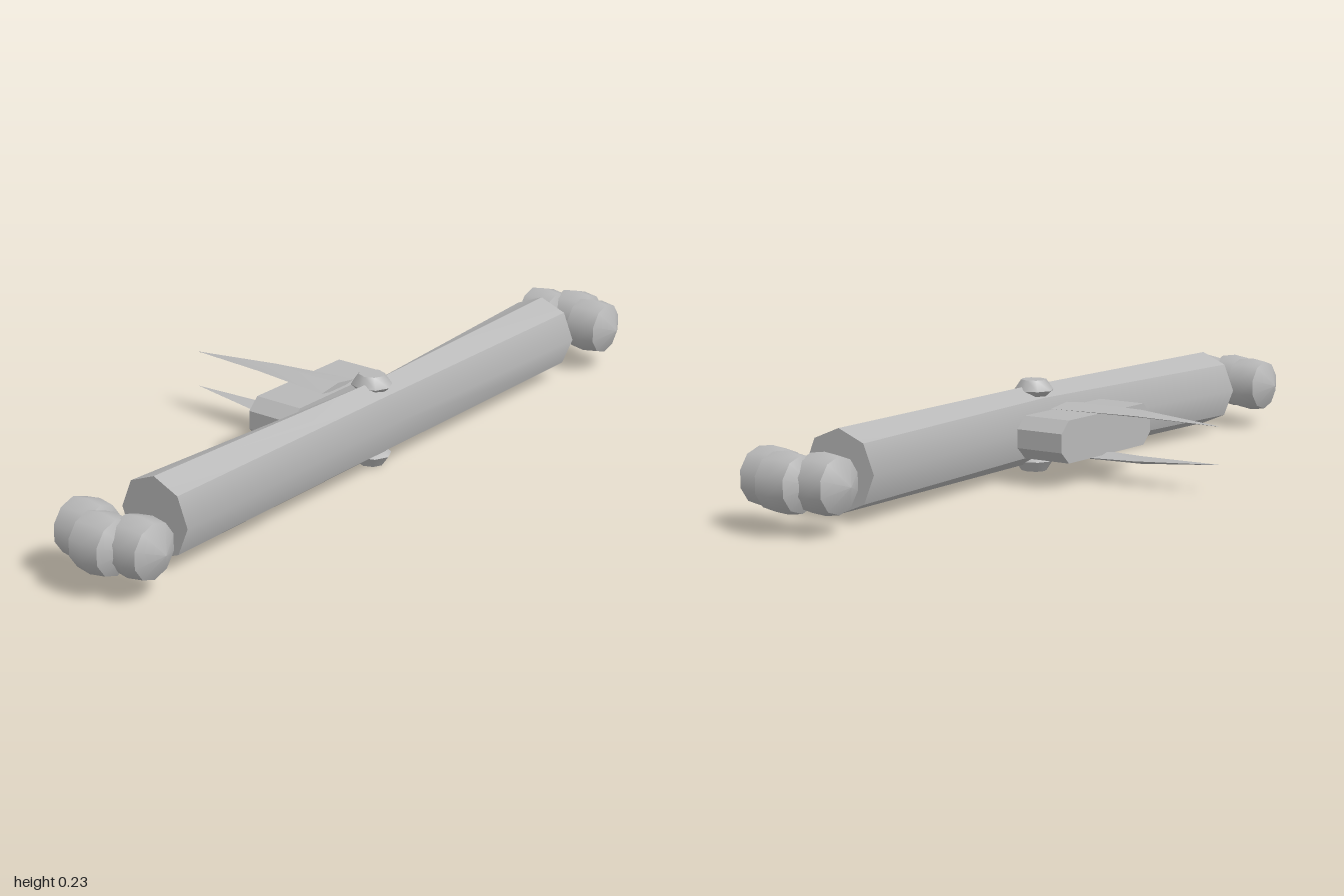
import * as THREE from 'three';
import { mergeGeometries, toCreasedNormals } from 'three/addons/utils/BufferGeometryUtils.js';

const MID_Y = 0.115;

// Skin a list of rings; each strip [from, to] of ring sides is smooth inside and sharp at its borders.
function loft(rings, strips) {
  const n = rings[0].length;
  const parts = [];
  const add = (points, index) => {
    const g = new THREE.BufferGeometry();
    g.setAttribute('position', new THREE.Float32BufferAttribute(points.flat(), 3));
    g.setIndex(index);
    g.computeVertexNormals();
    parts.push(g);
  };
  for (const [from, to] of strips) {
    const w = to - from + 1;
    const points = [], index = [];
    rings.forEach((ring, i) => {
      for (let j = 0; j < w; j++) {
        points.push(ring[(from + j + n) % n]);
        if (i < rings.length - 1 && j < w - 1) {
          const a = i * w + j, b = a + w;
          index.push(a, b, a + 1, b, b + 1, a + 1);
        }
      }
    });
    add(points, index);
  }
  // flat ends
  const first = [], last = [];
  for (let j = 1; j < n - 1; j++) {
    first.push(0, j, j + 1);
    last.push(0, j + 1, j);
  }
  add(rings[0], first);
  add(rings[rings.length - 1], last);
  return mergeGeometries(parts);
}

// Eight-sided ring of the crossbar, pinched in depth at the middle
function barRing(x, cz, depth) {
  return Array.from({ length: 8 }, (_, k) => {
    const t = k * Math.PI / 4;
    const skew = Math.sign(x) * 0.0035 * Math.cos(t);
    return [x + skew, MID_Y + 0.0975 * Math.sin(t), cz + depth * Math.cos(t)];
  });
}

// Diamond ring of a spike
const spikeRing = (z, w, top, mid, low) => [[w, mid, z], [0, top, z], [-w, mid, z], [0, low, z]];

function lathe(profile, sides) {
  const g = new THREE.LatheGeometry(profile.map(([r, y]) => new THREE.Vector2(r, y)), sides);
  return toCreasedNormals(g, THREE.MathUtils.degToRad(46));
}

export function createModel() {
  const model = new THREE.Group();
  model.name = 'spacecraft';
  const grey = new THREE.MeshStandardMaterial({ color: 0xb8b8b8 });
  grey.name = 'hull grey';

  const add = (name, geometry, x = 0, y = 0, z = 0, parent = model) => {
    const mesh = new THREE.Mesh(geometry, grey);
    mesh.name = name;
    mesh.position.set(x, y, z);
    parent.add(mesh);
    return mesh;
  };

  // Wide crossbar, smooth along its front and back ridges
  add('crossbar', loft(
    [barRing(-0.759, 0.188, 0.0975), barRing(0, 0.215, 0.056), barRing(0.759, 0.188, 0.0975)],
    [[-1, 1], [1, 2], [2, 3], [3, 5], [5, 6], [6, 7]]
  ));

  // Squat turrets above and below the middle
  const turret = lathe([[0, -0.014], [0.036, -0.014], [0.052, 0], [0.033, 0.026], [0, 0.026]], 8);
  turret.scale(0.9, 1, 1);
  add('topTurret', turret, 0, 0.203, 0.205);
  add('bottomTurret', turret, 0, 0.027, 0.205).rotation.x = Math.PI;

  // Engine clusters: three barrels with pointed ends on each side
  const barrel = lathe([[0, -0.074], [0.065, -0.04], [0.071, 0], [0.065, 0.04], [0, 0.074]], 10);
  barrel.rotateX(Math.PI / 2);
  for (const side of [1, -1]) {
    const pod = new THREE.Group();
    pod.name = side > 0 ? 'leftEngine' : 'rightEngine';
    model.add(pod);
    add('frontBarrel', barrel, side * 0.892, MID_Y, 0.265, pod);
    add('middleBarrel', barrel, side * 0.927, MID_Y, 0.19, pod);
    add('rearBarrel', barrel, side * 0.892, MID_Y, 0.114, pod);
  }

  // Rear block with chamfered long edges
  const outline = [[0.19, 0.023], [0.16, 0.052], [-0.16, 0.052], [-0.19, 0.023],
    [-0.19, -0.023], [-0.16, -0.052], [0.16, -0.052], [0.19, -0.023]];
  const block = new THREE.ExtrudeGeometry(
    new THREE.Shape(outline.map(([x, y]) => new THREE.Vector2(x, y))),
    { depth: 0.13, bevelEnabled: false }
  );
  add('rearBlock', block, 0, MID_Y, -0.015);

  // Long tapering spikes above and below the block
  const spike = loft(
    [spikeRing(0.105, 0.065, 0.066, 0.057, 0.047),
      spikeRing(-0.115, 0.033, 0.066, 0.055, 0.047),
      spikeRing(-0.335, 0.0005, 0.0465, 0.046, 0.0455)],
    [[0, 2], [2, 4]]
  );
  add('topSpike', spike, 0, MID_Y, 0);
  add('bottomSpike', spike, 0, MID_Y, 0).rotation.z = Math.PI;

  return model;
}
